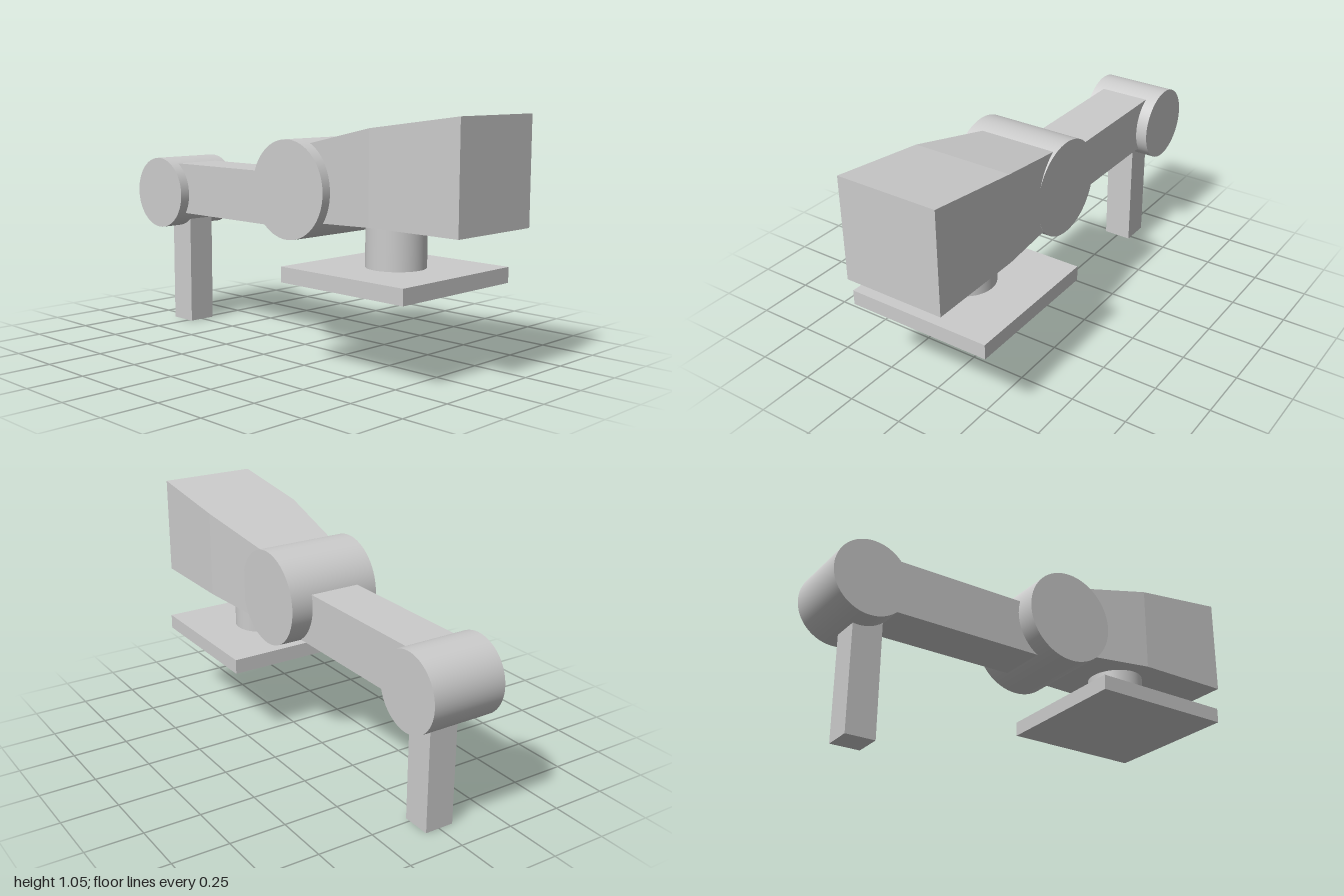
import * as THREE from 'three';

const material = new THREE.MeshStandardMaterial({ color: 0xcccccc });

function addMesh(group, name, geometry, x, y, z) {
  const mesh = new THREE.Mesh(geometry, material);
  mesh.name = name;
  mesh.position.set(x, y, z);
  group.add(mesh);
  return mesh;
}

// Box given by its limits on each axis
function addBox(group, name, [x0, x1], [y0, y1], [z0, z1]) {
  const geometry = new THREE.BoxGeometry(x1 - x0, y1 - y0, z1 - z0);
  return addMesh(group, name, geometry, (x0 + x1) / 2, (y0 + y1) / 2, (z0 + z1) / 2);
}

// Cylinder lying along x
function addJoint(group, name, radius, x0, x1, y, z) {
  const geometry = new THREE.CylinderGeometry(radius, radius, x1 - x0, 64).rotateZ(Math.PI / 2);
  return addMesh(group, name, geometry, (x0 + x1) / 2, y, z);
}

// Flat-sided loft through rectangular sections ordered from back to front
function loftBoxes(sections) {
  const positions = [];
  const rings = sections.map(({ z, x: [x0, x1], y: [y0, y1] }) =>
    [[x0, y0, z], [x1, y0, z], [x1, y1, z], [x0, y1, z]]);
  const quad = (a, b, c, d) => positions.push(...a, ...b, ...c, ...a, ...c, ...d);
  for (let i = 0; i < rings.length - 1; i++) {
    const back = rings[i], front = rings[i + 1];
    for (let k = 0; k < 4; k++) {
      const n = (k + 1) % 4;
      quad(back[k], back[n], front[n], front[k]);
    }
  }
  const [a, b, c, d] = rings[0];
  quad(d, c, b, a);
  quad(...rings[rings.length - 1]);
  const geometry = new THREE.BufferGeometry();
  geometry.setAttribute('position', new THREE.Float32BufferAttribute(positions, 3));
  geometry.computeVertexNormals();
  return geometry;
}

export function createModel() {
  const group = new THREE.Group();
  group.name = 'jointedArm';

  // Tapered head, narrowing into the large joint
  addMesh(group, 'head', loftBoxes([
    { z: 0.1, x: [-0.145, 0.185], y: [0.578, 0.896] },
    { z: 0.56, x: [-0.202, 0.245], y: [0.602, 0.99] },
    { z: 1, x: [-0.202, 0.245], y: [0.602, 1.047] },
  ]), 0, 0, 0);

  // Square foot plate on a round post
  addBox(group, 'footPlate', [-0.33, 0.327], [0.353, 0.419], [0.197, 0.851]);
  addMesh(group, 'footPost', new THREE.CylinderGeometry(0.126, 0.126, 0.25, 64), 0, 0.535, 0.53);

  // Joints and the arm between them
  addJoint(group, 'largeJoint', 0.211, -0.215, 0.212, 0.718, 0.11);
  addBox(group, 'arm', [-0.12, 0.112], [0.54, 0.775], [-0.8, 0.1]);
  addJoint(group, 'smallJoint', 0.167, -0.167, 0.166, 0.632, -0.833);

  // Rear leg
  addBox(group, 'rearLeg', [-0.067, 0.065], [0, 0.6], [-0.857, -0.726]);

  return group;
}
